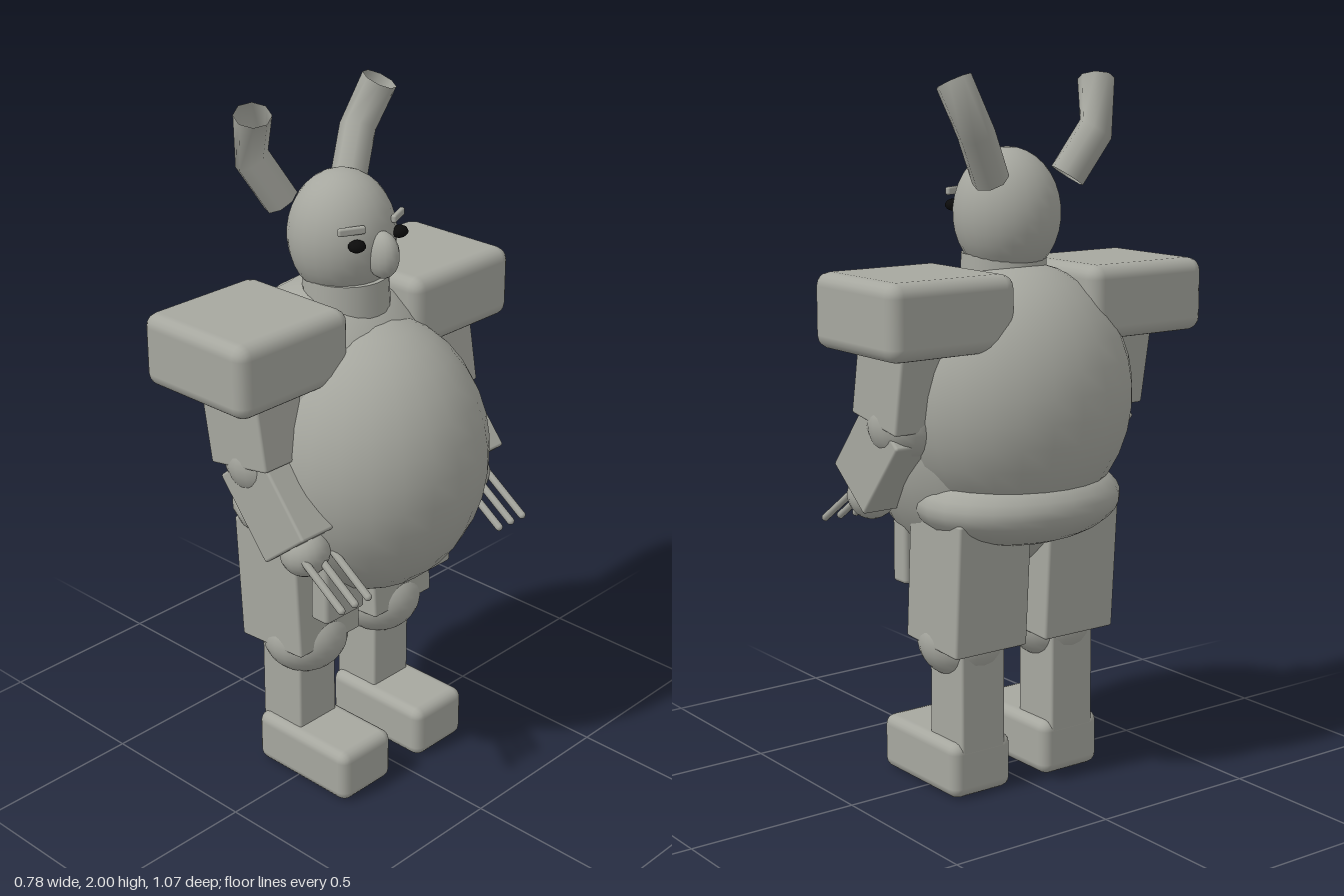
import * as THREE from 'three';
import { RoundedBoxGeometry } from 'three/addons/geometries/RoundedBoxGeometry.js';

const body = new THREE.MeshStandardMaterial({ color: 0xa6a79f });
body.name = 'clay grey';
const hornMat = new THREE.MeshStandardMaterial({ color: 0xa6a79f, side: THREE.DoubleSide });
hornMat.name = 'horn grey';
const black = new THREE.MeshStandardMaterial({ color: 0x0c0c0c });
black.name = 'eye black';

export function createModel() {
  const model = new THREE.Group();
  model.name = 'hornedOgre';

  function add(name, geometry, position, material = body) {
    const mesh = new THREE.Mesh(geometry, material);
    mesh.name = name;
    mesh.position.set(...position);
    model.add(mesh);
    return mesh;
  }
  // Ellipsoid from centre and three radii
  function ball(name, position, radii, material = body, segments = 24) {
    const mesh = add(name, new THREE.SphereGeometry(1, segments, Math.round(segments * 0.7)), position, material);
    mesh.scale.set(...radii);
    return mesh;
  }
  // Bevelled box, tilted in the x-y plane
  function block(name, position, size, bevel = 0.008, tilt = 0) {
    const mesh = add(name, new RoundedBoxGeometry(...size, 2, bevel), position);
    mesh.rotation.z = tilt;
    return mesh;
  }

  // Torso
  ball('chest', [-0.09, 1.12, 0], [0.3, 0.37, 0.345]);
  ball('belly', [0.05, 1, 0], [0.34, 0.405, 0.345]);
  ball('hips', [-0.1, 0.83, 0], [0.255, 0.125, 0.31]);

  // Head
  add('neck', new THREE.CylinderGeometry(0.118, 0.125, 0.13, 24), [-0.035, 1.445, 0]);
  ball('head', [-0.05, 1.62, 0], [0.15, 0.18, 0.15]);
  ball('nose', [0.1, 1.595, 0], [0.052, 0.066, 0.04], body, 16);

  for (const s of [1, -1]) {
    const side = s > 0 ? 'left' : 'right';

    // Face
    ball(side + 'Eye', [0.085, 1.636, s * 0.083], [0.023, 0.017, 0.026], black, 10);
    const brow = block(side + 'Brow', [0.072, 1.677, s * 0.09], [0.016, 0.022, 0.078], 0.006);
    brow.rotation.y = -s * 0.42;

    // Bent open horn
    const path = new THREE.CatmullRomCurve3([
      new THREE.Vector3(-0.15, 1.72, s * 0.13),
      new THREE.Vector3(-0.185, 1.85, s * 0.205),
      new THREE.Vector3(-0.137, 1.98, s * 0.24),
    ], false, 'catmullrom', 0);
    add(side + 'Horn', new THREE.TubeGeometry(path, 2, 0.051, 8), [0, 0, 0], hornMat);

    // Arm
    block(side + 'ShoulderPad', [-0.082, 1.377, s * 0.331], [0.386, 0.207, 0.404], 0.038);
    block(side + 'UpperArm', [-0.045, 1.2, s * 0.335], [0.215, 0.26, 0.19], 0.008, 0.17);
    ball(side + 'Elbow', [-0.03, 1.07, s * 0.33], [0.105, 0.105, 0.105], body, 20);
    block(side + 'Forearm', [0.045, 0.97, s * 0.33], [0.19, 0.27, 0.168], 0.008, 0.68);
    ball(side + 'Hand', [0.13, 0.84, s * 0.335], [0.07, 0.07, 0.07], body, 18);
    for (const z of [0.275, 0.327, 0.378]) {
      const finger = add(side + 'Finger', new THREE.CapsuleGeometry(0.011, 0.18, 4, 8), [0.235, 0.795, s * z]);
      finger.rotation.z = 0.96;
    }

    // Leg
    block(side + 'Thigh', [-0.08, 0.62, s * 0.155], [0.24, 0.38, 0.245], 0.008, 0.06);
    ball(side + 'Knee', [-0.05, 0.435, s * 0.157], [0.122, 0.112, 0.127]);
    block(side + 'Shin', [-0.077, 0.28, s * 0.158], [0.155, 0.34, 0.148]);
    block(side + 'Foot', [0.025, 0.08, s * 0.158], [0.36, 0.16, 0.204], 0.03);
    block(side + 'WaistPlate', [0.108, 0.67, s * 0.185], [0.064, 0.19, 0.155], 0.012);
  }
  return model;
}
